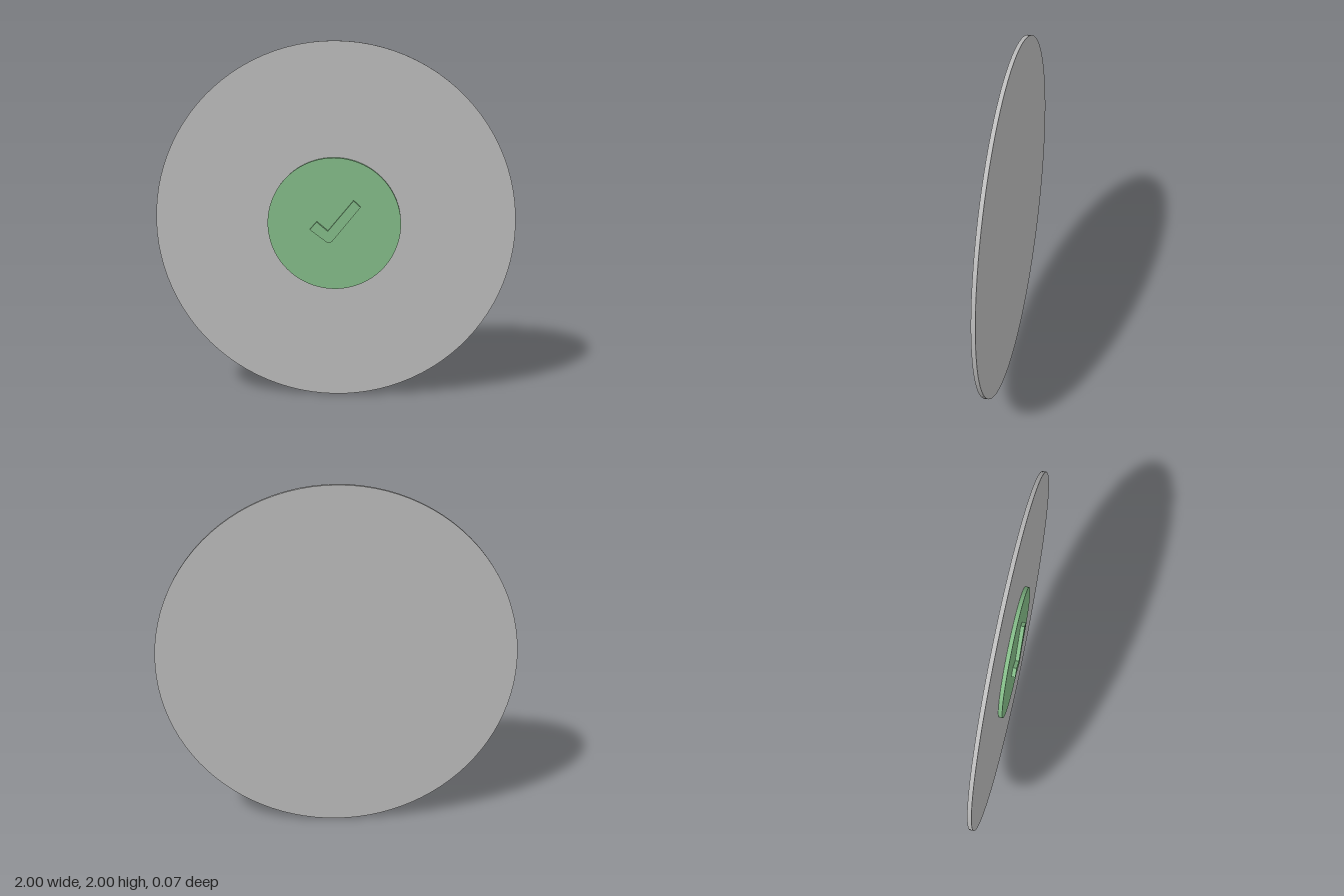
import * as THREE from 'three';

const LAYER = 0.022; // thickness of each visible step

export function createModel() {
  const group = new THREE.Group();
  const grey = new THREE.MeshStandardMaterial({ color: 0xbcbcbc });
  grey.name = 'grey';
  const green = new THREE.MeshStandardMaterial({ color: 0x84bc88 });
  green.name = 'green';

  // Upright disc spanning zBack to zFront
  function disc(name, radius, zBack, zFront, material) {
    const geometry = new THREE.CylinderGeometry(radius, radius, zFront - zBack, 96);
    geometry.rotateX(Math.PI / 2);
    const mesh = new THREE.Mesh(geometry, material);
    mesh.name = name;
    mesh.position.set(0, 1, (zBack + zFront) / 2);
    group.add(mesh);
  }

  disc('backDisc', 1, -1.5 * LAYER, -0.5 * LAYER, grey);
  // Sunk slightly into the back disc
  disc('centreDisc', 0.37, -LAYER, 0.5 * LAYER, green);

  // Raised tick with a softened lower corner
  const tick = new THREE.Shape([
    [-0.134, 0.972], [-0.035, 0.898], [-0.022, 0.899], [-0.01, 0.906],
    [0.147, 1.1], [0.108, 1.136], [-0.034, 0.964], [-0.096, 1.016],
  ].map(([x, y]) => new THREE.Vector2(x, y)));
  const tickMesh = new THREE.Mesh(
    new THREE.ExtrudeGeometry(tick, { depth: 1.5 * LAYER, bevelEnabled: false }),
    green,
  );
  tickMesh.name = 'tick';
  group.add(tickMesh);

  return group;
}
